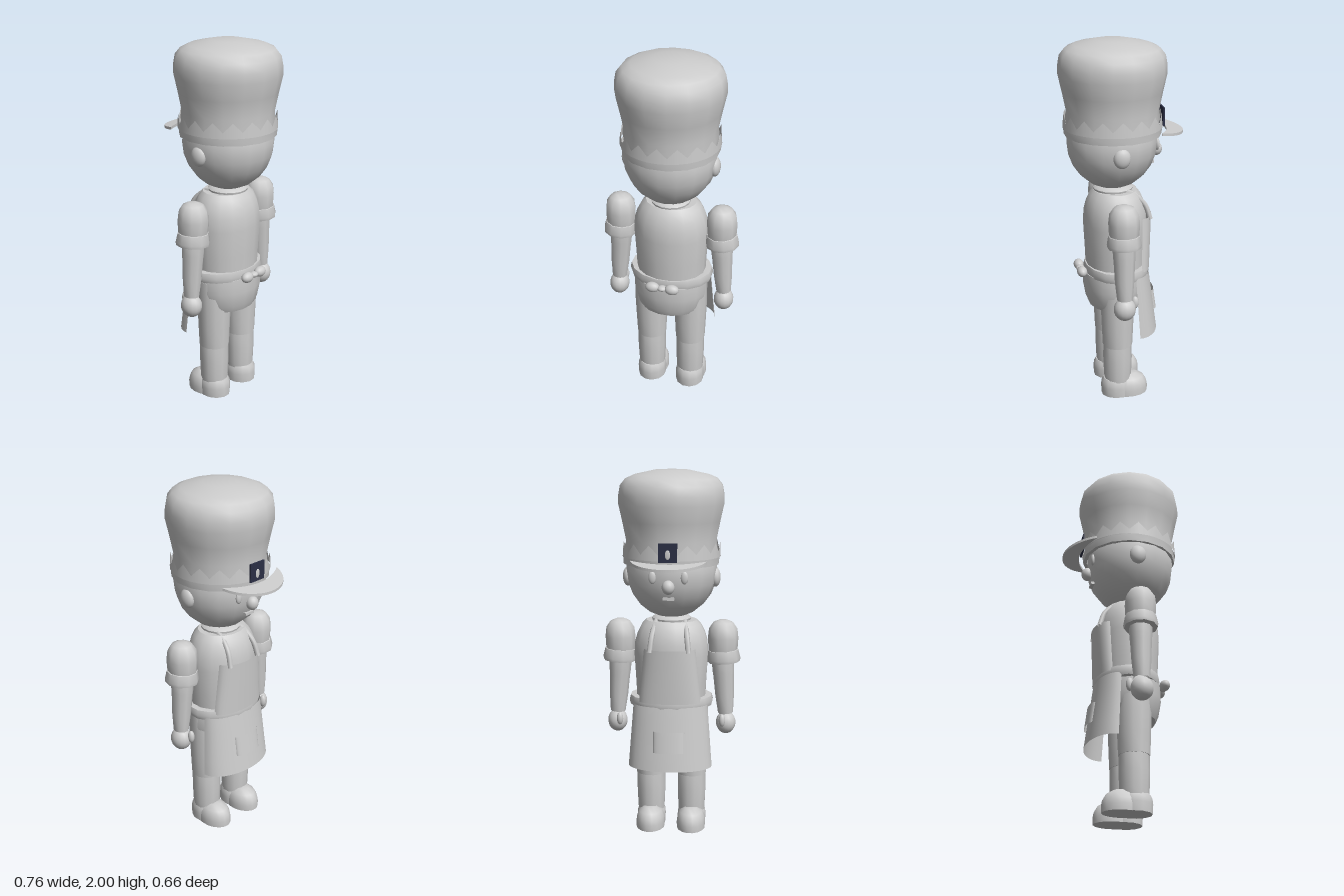
import * as THREE from 'three';
import { toCreasedNormals } from 'three/addons/utils/BufferGeometryUtils.js';

export function createModel() {
  const root = new THREE.Group();
  const grey = new THREE.MeshStandardMaterial({ color: 0xcccccc, side: THREE.DoubleSide });
  grey.name = 'lightGrey';
  const navy = new THREE.MeshStandardMaterial({ color: 0x2b2f45, side: THREE.DoubleSide });
  navy.name = 'navy';

  const add = (name, geo, x = 0, y = 0, z = 0, mat = grey, parent = root) => {
    const m = new THREE.Mesh(geo, mat);
    m.name = name;
    m.position.set(x, y, z);
    parent.add(m);
    return m;
  };
  // Turned solid from [radius, y] pairs, flats facing front and back, stretched in z
  const turned = (pts, sides = 16, sz = 1) => {
    const g = new THREE.LatheGeometry(pts.map(p => new THREE.Vector2(p[0], p[1])), sides, Math.PI / sides);
    g.scale(1, 1, sz);
    return toCreasedNormals(g, 0.75);
  };
  const ball = (rx, ry, rz) => new THREE.SphereGeometry(1, 16, 12).scale(rx, ry, rz);
  // Curved cloth panel; bottom and top rows are [y, halfWidth, edgeZ, middleZ]
  const panel = (b, t) => {
    const g = new THREE.PlaneGeometry(2, 1, 16, 4);
    const p = g.attributes.position;
    for (let i = 0; i < p.count; i++) {
      const a = p.getX(i) * Math.PI / 2, k = p.getY(i) + 0.5;
      const [y, w, e, m] = b.map((v, j) => v + (t[j] - v) * k);
      p.setXYZ(i, w * Math.sin(a), y, e + (m - e) * Math.cos(a));
    }
    g.computeVertexNormals();
    return g;
  };

  // Head
  add('head', ball(0.25, 0.265, 0.245), 0, 1.465, 0.055);
  add('nose', ball(0.034, 0.038, 0.034), 0, 1.4, -0.188);
  add('mouth', new THREE.BoxGeometry(0.06, 0.014, 0.02), 0, 1.335, -0.162);
  for (const s of [1, -1]) {
    add('ear', ball(0.03, 0.054, 0.046), s * 0.238, 1.425, 0.05);
    add('eye', ball(0.02, 0.034, 0.012), s * 0.085, 1.45, -0.174);
  }
  add('neck', turned([[0.085, 1.15], [0.105, 1.18], [0.108, 1.2], [0.09, 1.215], [0, 1.215]]), 0, 0, 0.05);

  // Tall hat with a toothed band, peak and badge
  add('hatCrown', turned([[0.24, 1.5], [0.252, 1.58], [0.248, 1.63], [0.268, 1.73], [0.288, 1.82],
    [0.287, 1.87], [0.278, 1.92], [0.25, 1.955], [0.205, 1.975], [0.09, 2], [0, 2]]), 0, 0, 0.05);
  add('hatBand', turned([[0.24, 1.5], [0.261, 1.5], [0.264, 1.54], [0.25, 1.545]]), 0, 0, 0.05);
  const teeth = new THREE.CylinderGeometry(0.263, 0.267, 0.08, 32, 1, true, Math.PI / 16);
  const tp = teeth.attributes.position;
  for (let i = 0; i < 33; i += 2) tp.setY(i, -0.01);
  add('hatTeeth', teeth, 0, 1.58, 0.05);

  const peakShape = new THREE.Shape();
  peakShape.moveTo(0.2, 0.17);
  peakShape.absarc(0, 0.122, 0.208, 0.24, Math.PI - 0.24, false);
  peakShape.quadraticCurveTo(0, 0.3, 0.2, 0.17);
  const peakGeo = new THREE.ExtrudeGeometry(peakShape, { depth: 0.014, bevelEnabled: false, curveSegments: 20 });
  peakGeo.rotateX(-Math.PI / 2);
  const pp = peakGeo.attributes.position;
  for (let i = 0; i < pp.count; i++) pp.setY(i, pp.getY(i) + 1.527 + (pp.getZ(i) + 0.15) * 0.16);
  peakGeo.computeVertexNormals();
  add('hatPeak', peakGeo);
  add('badge', new THREE.BoxGeometry(0.1, 0.1, 0.009), 0, 1.585, -0.219, navy);
  add('badgeSpot', ball(0.014, 0.025, 0.003), 0, 1.575, -0.224);

  // Body
  add('torso', turned([[0.19, 0.7], [0.197, 0.85], [0.206, 1], [0.202, 1.07], [0.188, 1.12],
    [0.165, 1.165], [0.14, 1.19], [0, 1.19]], 16, 0.84), 0, 0, 0.04);
  add('seat', turned([[0, 0.525], [0.172, 0.525], [0.19, 0.56], [0.208, 0.64], [0.205, 0.72], [0, 0.72]], 16, 0.8), 0, 0, 0.052);
  add('belt', turned([[0.19, 0.715], [0.228, 0.715], [0.235, 0.74], [0.228, 0.768], [0.19, 0.768]], 16, 0.77), 0, 0, 0.033);

  // Apron
  add('apronSkirt', panel([0.38, 0.232, -0.055, -0.19], [0.73, 0.205, -0.035, -0.142]));
  add('apronPocket', panel([0.485, 0.085, -0.166, -0.19], [0.6, 0.085, -0.15, -0.174]));
  add('apronBib', panel([0.75, 0.17, -0.075, -0.145], [1.05, 0.14, -0.085, -0.158]));
  for (const s of [1, -1]) {
    const curve = new THREE.CatmullRomCurve3([[0.105, 1.035, -0.135], [0.095, 1.12, -0.105], [0.08, 1.185, -0.03], [0.075, 1.195, 0.03]]
      .map(p => new THREE.Vector3(s * p[0], p[1], p[2])));
    add('apronStrap', new THREE.TubeGeometry(curve, 12, 0.015, 6));
    add('bowLoop', ball(0.04, 0.029, 0.028), s * 0.055, 0.737, 0.235);
  }
  add('bowKnot', ball(0.026, 0.016, 0.024), 0, 0.737, 0.235);

  // Limbs
  for (const s of [1, -1]) {
    const arm = new THREE.Group();
    arm.name = s > 0 ? 'leftArm' : 'rightArm';
    arm.position.set(s * 0.285, 0, 0.05);
    root.add(arm);
    add('sleeve', turned([[0.07, 0.97], [0.08, 1.02], [0.084, 1.09], [0.078, 1.14], [0.055, 1.175], [0.025, 1.188], [0, 1.188]], 10),
      0, 0, 0, grey, arm);
    const cuff = add('cuff', turned([[0.05, -0.035], [0.09, -0.035], [0.093, -0.018], [0.084, 0.03], [0.07, 0.035]], 10),
      s * 0.003, 0.99, 0, grey, arm);
    cuff.rotation.z = s * 0.06;
    const fore = add('forearm', turned([[0.042, -0.3], [0.052, -0.2], [0.057, -0.09], [0.06, -0.06], [0.062, 0]], 10), 0, 0.96, 0, grey, arm);
    fore.rotation.z = s * 0.06;
    add('hand', ball(0.055, 0.064, 0.06), s * 0.02, 0.605, 0, grey, arm);
    add('thumb', ball(0.018, 0.036, 0.02), s * 0.0, 0.63, -0.06, grey, arm);

    const leg = new THREE.Group();
    leg.name = s > 0 ? 'leftLeg' : 'rightLeg';
    leg.position.set(s * 0.115, 0, 0.05);
    root.add(leg);
    add('trouser', turned([[0.07, 0.305], [0.083, 0.305], [0.088, 0.42], [0.093, 0.55], [0.092, 0.7], [0, 0.7]], 12), 0, 0, 0, grey, leg);
    add('shin', turned([[0.074, 0.08], [0.077, 0.12], [0.081, 0.22], [0.08, 0.305]], 12), 0, 0, 0, grey, leg);
    add('shoe', turned([[0, 0], [0.08, 0], [0.081, 0.035], [0.077, 0.065], [0.064, 0.095], [0.035, 0.118], [0, 0.12]], 16, 1.35),
      0, 0, -0.062, grey, leg);
    add('heel', turned([[0, 0], [0.08, 0], [0.082, 0.05], [0.079, 0.08], [0.07, 0.1], [0, 0.1]], 12, 1.12), 0, 0, 0.003, grey, leg);
  }
  return root;
}
